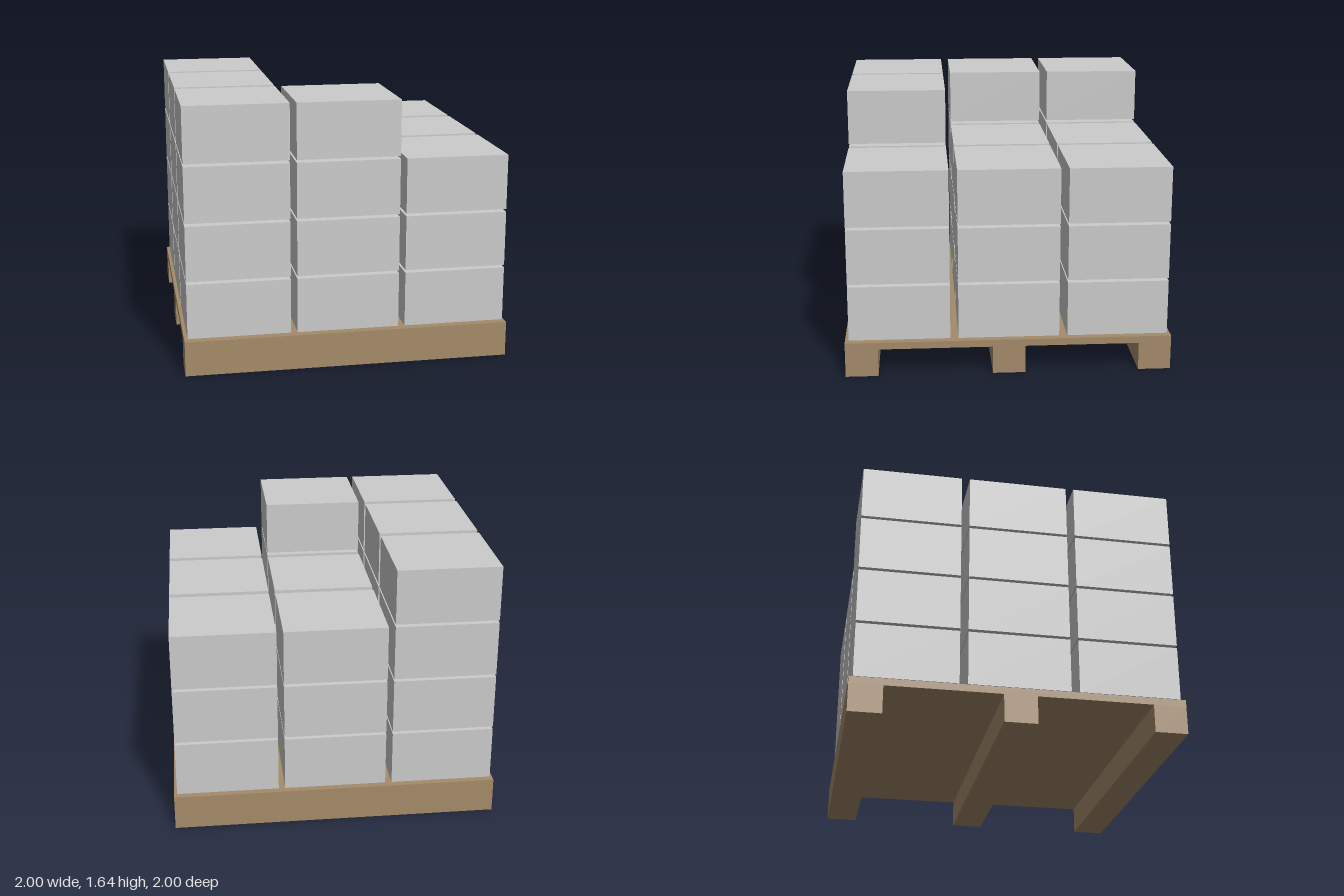
import * as THREE from 'three';

const wood = new THREE.MeshStandardMaterial({ color: 0xa58b6a });
const grey = new THREE.MeshStandardMaterial({ color: 0xcccccc });

function box(name, material, size, position) {
  const mesh = new THREE.Mesh(new THREE.BoxGeometry(...size), material);
  mesh.name = name;
  mesh.position.set(...position);
  return mesh;
}

export function createModel() {
  const model = new THREE.Group();
  model.name = 'loadedPallet';

  // Pallet: a solid deck on three full-width runners
  const deckBottom = 0.173, deckTop = 0.217;
  const pallet = new THREE.Group();
  pallet.name = 'pallet';
  pallet.add(box('deck', wood, [2, deckTop - deckBottom, 2], [0, (deckTop + deckBottom) / 2, 0]));
  for (const z of [-0.9, 0, 0.9]) {
    pallet.add(box('runner', wood, [2, deckBottom, 0.2], [0, deckBottom / 2, z]));
  }
  model.add(pallet);

  // Cartons: stack heights by row (back to front) and column (-x to +x)
  const stacks = [
    [4, 3, 3],
    [4, 3, 3],
    [4, 4, 3],
  ];
  const spacing = 0.667, layerPitch = 0.357, firstLayer = 0.398;
  const cartons = new THREE.Group();
  cartons.name = 'cartons';
  stacks.forEach((row, r) => row.forEach((layers, c) => {
    for (let i = 0; i < layers; i++) {
      cartons.add(box('carton', grey, [0.627, 0.34, 0.617],
        [(c - 1) * spacing, firstLayer + i * layerPitch, (r - 1) * spacing]));
    }
  }));
  model.add(cartons);

  return model;
}
